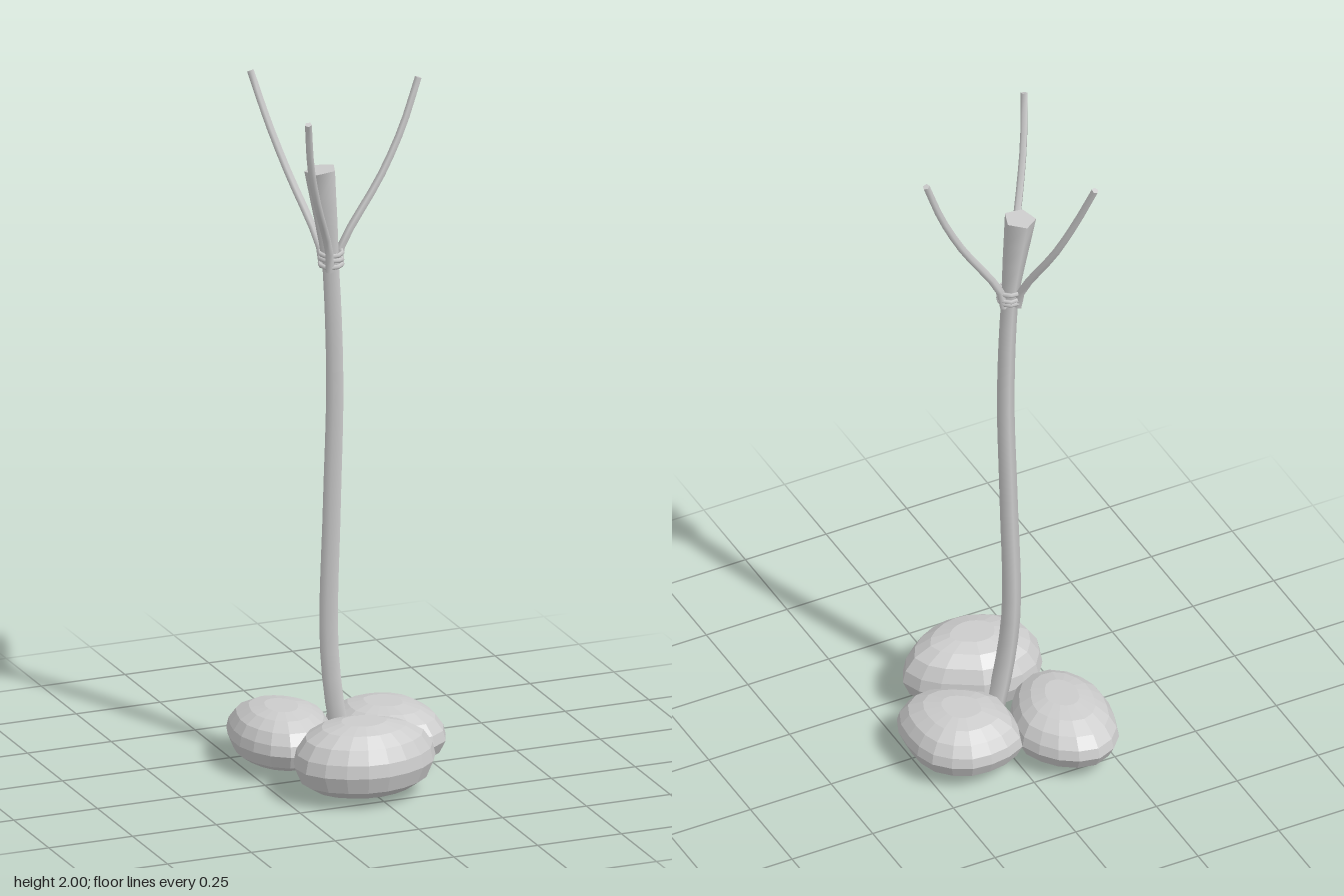
import * as THREE from 'three';
import { toCreasedNormals } from 'three/addons/utils/BufferGeometryUtils.js';

const grey = new THREE.MeshStandardMaterial({ color: 0xcccccc });
const greyFlat = new THREE.MeshStandardMaterial({ color: 0xcccccc, flatShading: true });
const V = (p) => new THREE.Vector3(...p);

// Closed solid through equal-sized rings, each counter-clockwise about the direction of travel
function loft(rings) {
  const n = rings[0].length;
  const positions = [];
  const tri = (...pts) => pts.forEach((p) => positions.push(p.x, p.y, p.z));
  const middle = (ring) => ring.reduce((s, p) => s.add(p), new THREE.Vector3()).divideScalar(n);
  const first = rings[0], last = rings[rings.length - 1];
  const c0 = middle(first), c1 = middle(last);
  for (let j = 0; j < n; j++) {
    const k = (j + 1) % n;
    for (let i = 0; i < rings.length - 1; i++) {
      tri(rings[i][j], rings[i][k], rings[i + 1][k]);
      tri(rings[i][j], rings[i + 1][k], rings[i + 1][j]);
    }
    tri(c0, first[k], first[j]);
    tri(c1, last[j], last[k]);
  }
  const geometry = new THREE.BufferGeometry();
  geometry.setAttribute('position', new THREE.Float32BufferAttribute(positions, 3));
  geometry.computeVertexNormals();
  return geometry;
}

// Five-sided stem along a curve, with radius as a function of t
function stem(points, steps, radiusAt) {
  const curve = new THREE.CatmullRomCurve3(points.map(V));
  const { normals, binormals } = curve.computeFrenetFrames(steps);
  const rings = [];
  for (let i = 0; i <= steps; i++) {
    const centre = curve.getPointAt(i / steps);
    const r = radiusAt(i / steps);
    rings.push(Array.from({ length: 5 }, (_, j) => {
      const a = (j / 5) * Math.PI * 2;
      return centre.clone()
        .addScaledVector(normals[i], r * Math.cos(a))
        .addScaledVector(binormals[i], r * Math.sin(a));
    }));
  }
  return toCreasedNormals(loft(rings), 1.35);
}

// Boulder: plan outline scaled towards its crown point by a rounded profile [scale, height]
const stoneProfile = [
  [0.35, 0], [0.7, 0.05], [0.9, 0.17], [1, 0.4], [0.96, 0.58],
  [0.83, 0.77], [0.6, 0.91], [0.32, 0.98],
];
function stone(outline, [cx, cz], bottom, top) {
  const curve = new THREE.CatmullRomCurve3(outline.map(([x, z]) => V([x, 0, z])), true);
  const rim = curve.getSpacedPoints(18).slice(0, 18);
  return loft(stoneProfile.map(([s, h]) => rim.map((p) => new THREE.Vector3(
    cx + (p.x - cx) * s, bottom + (top - bottom) * h, cz + (p.z - cz) * s))));
}

export function createModel() {
  const group = new THREE.Group();
  const add = (name, geometry, material = grey) => {
    const mesh = new THREE.Mesh(geometry, material);
    mesh.name = name;
    group.add(mesh);
    return mesh;
  };

  // Crooked pole, flaring into a club above the binding
  add('pole', stem([
    [-0.008, 0.004, 0.028], [-0.045, 0.2, 0.02], [-0.06, 0.4, 0.007], [-0.05, 0.8, 0.004],
    [-0.042, 1.15, 0.005], [-0.053, 1.5, 0], [-0.08, 1.77, -0.008],
  ], 24, (t) => (t < 0.85 ? 0.029 - 0.005 * t : 0.025 + 0.021 * (t - 0.85) / 0.15)));

  // Three thin prongs spreading from the binding
  const prongs = {
    leftProng: [[-0.03, 1.48, -0.008], [-0.018, 1.54, -0.008], [0.1, 1.73, -0.008], [0.165, 1.86, -0.012], [0.216, 1.996, -0.02]],
    backProng: [[-0.068, 1.48, -0.022], [-0.073, 1.54, -0.035], [-0.125, 1.73, -0.14], [-0.16, 1.86, -0.195], [-0.19, 1.996, -0.248]],
    frontProng: [[-0.066, 1.48, 0.022], [-0.073, 1.54, 0.035], [-0.15, 1.73, 0.13], [-0.19, 1.86, 0.182], [-0.217, 1.996, 0.23]],
  };
  for (const [name, points] of Object.entries(prongs)) {
    add(name, stem(points, 10, (t) => 0.012 - 0.002 * t));
  }

  // Rope binding
  [[1.495, 0.05], [1.51, -0.08], [1.528, 0.06]].forEach(([y, tilt]) => {
    const ring = add('binding', new THREE.TorusGeometry(0.031, 0.007, 5, 10));
    ring.rotation.set(Math.PI / 2 + tilt, tilt, 0);
    ring.position.set(-0.053, y, 0);
  });

  // Boulders wedging the foot of the pole
  add('backStone', stone([
    [0.005, -0.19], [-0.03, -0.26], [-0.08, -0.31], [-0.16, -0.335], [-0.24, -0.29], [-0.28, -0.18],
    [-0.285, -0.1], [-0.24, 0.005], [-0.17, 0.05], [-0.09, 0.03], [-0.02, -0.07],
  ], [-0.147, -0.125], 0.02, 0.18), greyFlat);
  add('leftStone', stone([
    [0.285, -0.035], [0.265, -0.145], [0.18, -0.215], [0.09, -0.22], [0.005, -0.19], [-0.02, -0.11],
    [-0.02, -0.01], [0.05, 0.065], [0.15, 0.115], [0.21, 0.11], [0.265, 0.065],
  ], [0.125, -0.06], 0.02, 0.18), greyFlat);
  add('frontStone', stone([
    [0.175, 0.2], [0.14, 0.125], [0.06, 0.07], [0, 0.035], [-0.1, 0.03], [-0.17, 0.055], [-0.22, 0.13],
    [-0.23, 0.2], [-0.19, 0.27], [-0.09, 0.325], [-0.02, 0.333], [0.07, 0.31], [0.14, 0.26],
  ], [-0.03, 0.18], 0.017, 0.22), greyFlat);

  return group;
}
